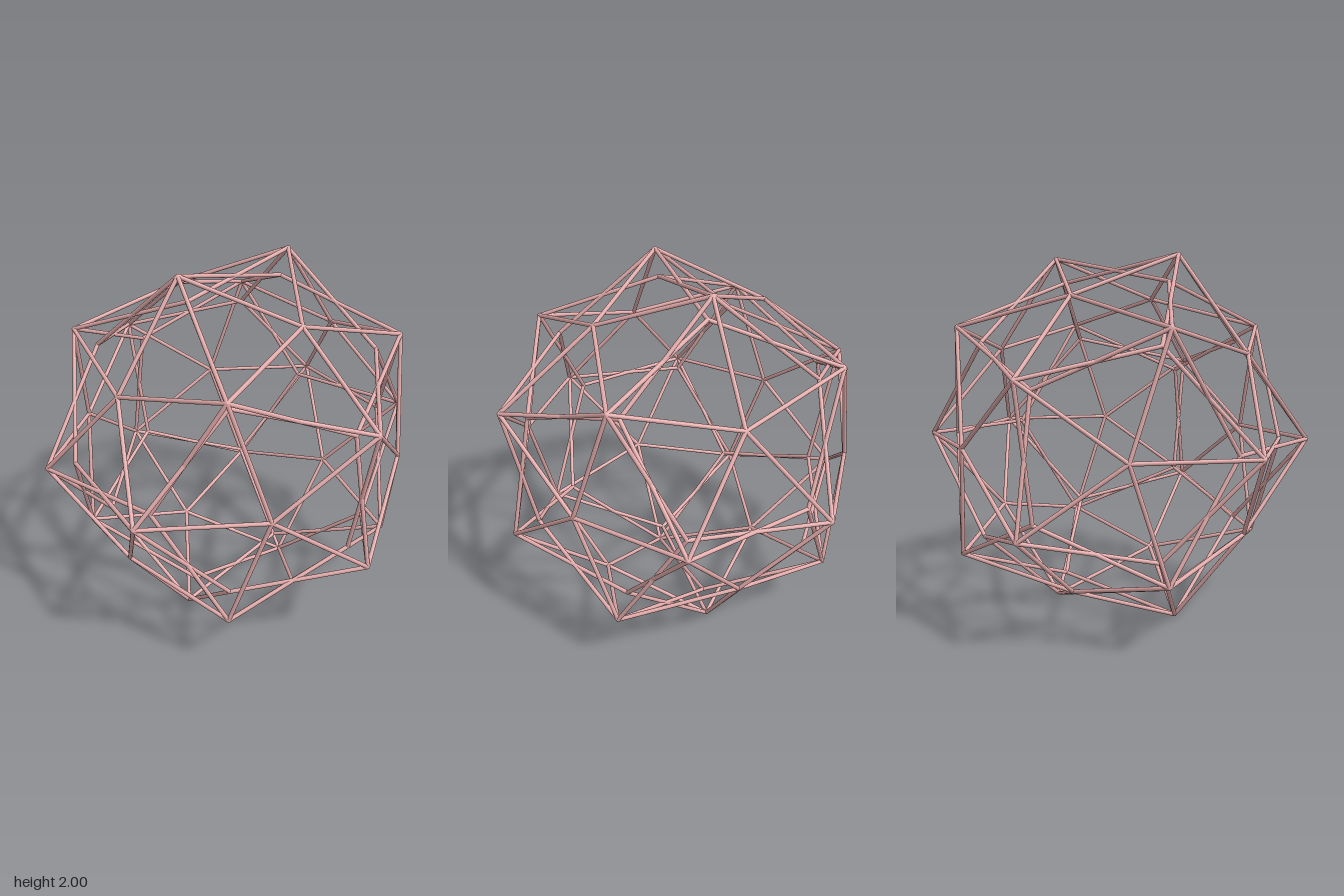
import * as THREE from 'three';
import { mergeGeometries } from 'three/addons/utils/BufferGeometryUtils.js';

const PHI = (1 + Math.sqrt(5)) / 2;
const REACH = 0.99;          // farthest corner along each axis
const BAR = 0.011;           // bar radius
const UP = new THREE.Vector3(0, 1, 0);

// All sign variants of (p, q, 0) and its two cyclic rotations
function cyclicPoints(p, q) {
  const points = [];
  for (const i of [-1, 1]) for (const j of [-1, 1]) {
    points.push(
      new THREE.Vector3(i * p, j * q, 0),
      new THREE.Vector3(0, i * p, j * q),
      new THREE.Vector3(j * q, 0, i * p)
    );
  }
  return points;
}

// Straight round bar between two points
function bar(a, b) {
  const dir = b.clone().sub(a);
  const g = new THREE.CylinderGeometry(BAR, BAR, dir.length(), 16, 1, true);
  g.applyQuaternion(new THREE.Quaternion().setFromUnitVectors(UP, dir.clone().normalize()));
  const mid = a.clone().add(b).multiplyScalar(0.5);
  return g.translate(mid.x, mid.y, mid.z);
}

// Small bead closing the corner where bars meet
function joint(p) {
  return new THREE.SphereGeometry(BAR, 16, 12).translate(p.x, p.y, p.z);
}

export function createModel() {
  const group = new THREE.Group();
  const material = new THREE.MeshStandardMaterial({ color: 0xe0a8a8 });
  const add = (name, parts) => {
    const mesh = new THREE.Mesh(mergeGeometries(parts), material);
    mesh.name = name;
    mesh.position.y = 1;
    group.add(mesh);
  };

  // Twenty corners of a dodecahedron
  const a = REACH / PHI, b = a / PHI;
  const corners = cyclicPoints(b, REACH);
  for (const x of [-a, a]) for (const y of [-a, a]) for (const z of [-a, a]) {
    corners.push(new THREE.Vector3(x, y, z));
  }
  // Peak over each pentagon, sunken point under each corner
  const peaks = cyclicPoints(0.77, 0.476);
  const sunken = corners.map(p => p.clone().multiplyScalar(0.86));

  // Each peak joins its five corners; each sunken point joins the three
  // neighbours of the corner above it
  const peakStruts = [], sunkenStruts = [];
  const spacing = 2 * b + 0.01;
  corners.forEach((p, i) => {
    for (const q of corners) {
      if (q !== p && p.distanceTo(q) < spacing) sunkenStruts.push(bar(sunken[i], q));
    }
    for (const peak of peaks) {
      if (peak.distanceTo(p) < 0.8) peakStruts.push(bar(peak, p));
    }
  });

  add('peakStruts', peakStruts);
  add('sunkenStruts', sunkenStruts);
  add('joints', [...corners, ...peaks, ...sunken].map(joint));
  return group;
}
